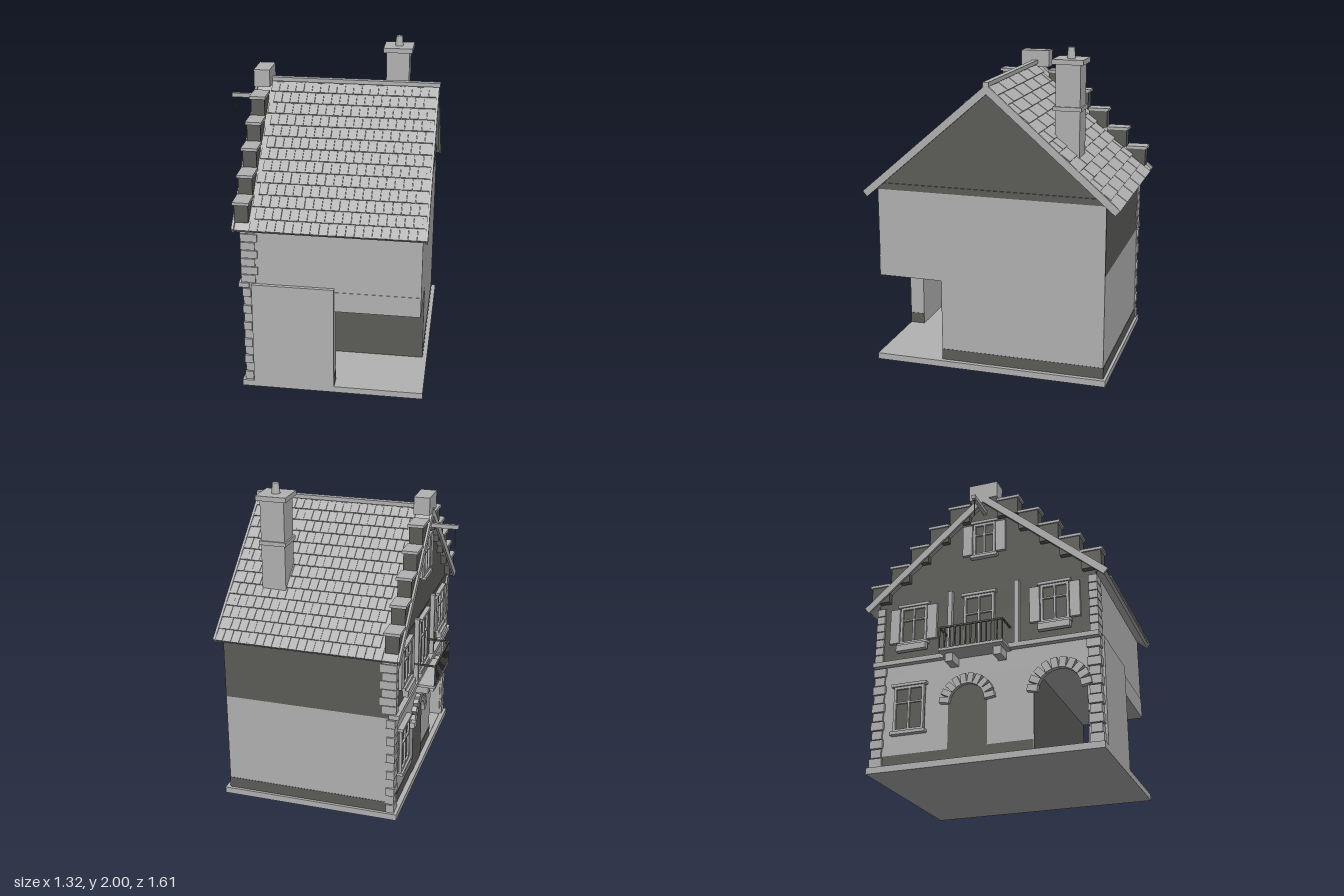
import * as THREE from 'three';
import { mergeGeometries } from 'three/addons/utils/BufferGeometryUtils.js';

const light = new THREE.MeshStandardMaterial({ color: 0xb2b2b2 });
light.name = 'light stone';
const dark = new THREE.MeshStandardMaterial({ color: 0x5c5c58 });
dark.name = 'dark stone';

// box geometry from its limits
function slab(x0, x1, y0, y1, z0, z1) {
  return new THREE.BoxGeometry(x1 - x0, y1 - y0, z1 - z0)
    .translate((x0 + x1) / 2, (y0 + y1) / 2, (z0 + z1) / 2);
}
// flat shape drawn in (z, y), facing -x or +x
function sidePlate(shape, x, facing) {
  const g = new THREE.ShapeGeometry(shape, 16);
  return g.rotateY(facing * Math.PI / 2).translate(x, 0, 0);
}

export function createModel() {
  const house = new THREE.Group();
  house.name = 'house';
  const add = (name, mat, ...geos) => {
    const mesh = new THREE.Mesh(geos.length > 1 ? mergeGeometries(geos) : geos[0], mat);
    mesh.name = name;
    house.add(mesh);
    return mesh;
  };

  // ground slab and walls, with an open passage under the +z side
  add('base', light, slab(-0.485, 0.65, 0, 0.04, -0.74, 0.74));
  add('lowerWalls', light, slab(-0.45, 0.62, 0.04, 0.56, -0.72, 0.31));
  add('upperWalls', light, slab(-0.45, 0.62, 0.56, 1.12, -0.717, 0.717));
  add('sidePanel', light, slab(-0.41, 0.095, 0.04, 0.715, 0.645, 0.74), slab(-0.45, -0.41, 0.04, 0.70, 0.645, 0.72));
  add('lintel', light, slab(0.095, 0.62, 0.56, 0.69, 0.7, 0.72), slab(-0.45, 0.62, 0.56, 0.69, -0.72, -0.7));
  add('passageWall', dark, slab(-0.449, 0.619, 0.04, 0.56, 0.305, 0.312));
  add('backBand', dark, slab(-0.45, 0.62, 0.69, 1.12, -0.721, -0.714));
  add('plinth', dark,
    slab(0.615, 0.622, 0.04, 0.11, -0.722, 0.31),
    slab(-0.45, 0.62, 0.04, 0.11, -0.722, -0.715),
    slab(-0.453, -0.446, 0.04, 0.11, -0.72, 0.31),
    slab(0.09, 0.097, 0.04, 0.11, 0.645, 0.739));

  // arched opening of the passage
  const arch = new THREE.Shape([[0.31, 0.04], [0.645, 0.04], [0.645, 0.57], [0.31, 0.57]].map(p => new THREE.Vector2(...p)));
  const hole = new THREE.Path();
  hole.moveTo(0.315, 0.045);
  hole.lineTo(0.315, 0.39);
  hole.absarc(0.477, 0.39, 0.162, Math.PI, 0, true);
  hole.lineTo(0.639, 0.045);
  hole.closePath();
  arch.holes.push(hole);
  add('passageArch', light, sidePlate(arch, -0.452, -1));

  // gables
  const gable = (w, y0, peak) => new THREE.Shape([[-w, y0], [w, y0], [0, peak]].map(p => new THREE.Vector2(...p)));
  add('rearGable', dark, sidePlate(gable(0.74, 1.12, 1.765), 0.615, 1));
  add('rearGableBand', dark, slab(0.61, 0.622, 1.12, 1.16, -0.71, 0.71));
  add('facadeGable', dark, sidePlate(gable(0.74, 1.12, 1.765), -0.455, -1));
  add('facadeUpper', dark, slab(-0.457, -0.45, 0.72, 1.12, -0.715, 0.715));
  add('stringCourse', light, slab(-0.49, -0.425, 0.69, 0.72, -0.73, 0.73));

  // roof slopes: each is built flat and tilted; u runs down the slope
  const run = 0.80, rise = 0.69, len = Math.hypot(run, rise), tilt = Math.atan2(rise, run);
  const rows = 13, cols = 20;
  for (const side of [1, -1]) {
    const onSlope = (x0, x1, t0, t1, u0, u1) => {
      const g = slab(x0, x1, t0, t1, u0, u1).rotateX(tilt);
      if (side < 0) g.rotateY(Math.PI).scale(1, 1, 1);
      return g.translate(0, 1.79, 0);
    };
    const m = x => side * x;
    const strip = (xa, xb, t0, t1, u0, u1) => onSlope(Math.min(m(xa), m(xb)), Math.max(m(xa), m(xb)), t0, t1, u0, u1);
    add('roofSlope', light, strip(-0.49, 0.64, -0.03, -0.008, 0, len - 0.005));
    // overlapping tiles with small height changes
    const tiles = [];
    for (let r = 0; r < rows; r++) {
      const pitch = len / rows;
      for (let c = 0; c < cols; c++) {
        const w = 1.04 / cols, x = -0.40 + (c + (r % 2) * 0.5) * w;
        const lift = ((r * 7 + c * 5) % 4) * 0.0008;
        const g = slab(-w / 2 + 0.001, w / 2 - 0.001, -0.008, 0, -pitch * 0.55, pitch * 0.52);
        g.rotateX(-0.09).translate(m(Math.min(x + w / 2, 0.64 - w / 2)), 0.001 + lift, (r + 0.5) * pitch);
        g.rotateX(tilt);
        if (side < 0) g.rotateY(Math.PI);
        tiles.push(g.translate(0, 1.79, 0));
      }
    }
    add('roofTiles', light, ...tiles);
    add('vergeBoards', light, strip(0.635, 0.65, -0.036, 0.008, 0, len), strip(-0.505, -0.49, -0.036, 0.008, 0, len));
  }
  add('ridge', light, slab(-0.41, 0.657, 1.79, 1.815, -0.018, 0.018));

  // stepped parapet
  const edges = [0.775, 0.645, 0.51, 0.38, 0.245, 0.10];
  const bodies = [], caps = [];
  for (const s of [1, -1]) {
    for (let i = 0; i < 5; i++) {
      const top = 1.265 + 0.1215 * i;
      const za = s * (edges[i] - 0.012), zb = s * (edges[i + 1] - 0.005);
      const ca = s * edges[i], cb = s * (edges[i + 1] - 0.008);
      bodies.push(slab(-0.492, -0.408, top - 0.13, top - 0.018, Math.min(za, zb), Math.max(za, zb)));
      caps.push(slab(-0.50, -0.40, top - 0.018, top, Math.min(ca, cb), Math.max(ca, cb)));
    }
  }
  add('stepBlocks', dark, ...bodies);
  add('stepCaps', light, ...caps);
  add('peakBlock', light, slab(-0.50, -0.40, 1.77, 1.88, -0.095, 0.095));

  // chimney
  add('chimney', light,
    slab(0.285, 0.435, 1.3, 1.91, -0.51, -0.36),
    slab(0.275, 0.445, 1.63, 1.655, -0.52, -0.345),
    slab(0.265, 0.455, 1.905, 1.935, -0.53, -0.34));
  add('chimneyPot', light, new THREE.CylinderGeometry(0.02, 0.027, 0.065, 12).translate(0.36, 1.9675, -0.435));

  // corner stones
  const quoins = [];
  for (const s of [1, -1]) {
    for (let i = 0; i < 11; i++) {
      const e = (i % 2) * 0.008, y = 0.045 + i * 0.0585;
      quoins.push(slab(-0.467 + e / 2, -0.415 + e, y, y + 0.053, s * 0.69 - 0.042 + e, s * 0.69 + 0.042 - e));
    }
    for (let i = 0; i < 7; i++) {
      const y = 0.725 + i * 0.054;
      quoins.push(slab(-0.472, i % 2 ? -0.37 : -0.385, y, y + 0.049, s * 0.7 - 0.027, s * 0.7 + 0.027));
    }
  }
  add('cornerStones', light, ...quoins);

  // arch stones over the passage and the door
  for (const [cz, r] of [[0.477, 0.165], [-0.10, 0.145]]) {
    const stones = [];
    for (let i = 0; i < 10; i++) {
      const a = (i + 0.5) / 10 * Math.PI;
      const g = new THREE.BoxGeometry(0.035, 0.065, r * 0.25);
      stones.push(g.rotateX(Math.PI / 2 - a).translate(-0.463, 0.39 + Math.sin(a) * r, cz + Math.cos(a) * r));
    }
    add('archStones', light, ...stones);
  }
  const leaf = new THREE.Shape();
  leaf.moveTo(-0.225, 0.04);
  leaf.lineTo(0.025, 0.04);
  leaf.lineTo(0.025, 0.39);
  leaf.absarc(-0.1, 0.39, 0.125, 0, Math.PI, false);
  add('door', dark, sidePlate(leaf, -0.456, -1));

  // framed windows with glazing bars, sills and shutters
  function windowUnit(z, y0, y1, w, shutters) {
    const h = w / 2, x = -0.475, f = 0.016, ym = y0 + (y1 - y0) * 0.62;
    add('windowGlass', dark, slab(-0.462, -0.45, y0, y1, z - h, z + h));
    add('windowFrame', light,
      slab(x, -0.45, y0, y1, z - h, z - h + f), slab(x, -0.45, y0, y1, z + h - f, z + h),
      slab(x, -0.45, y1 - f, y1, z - h, z + h), slab(x, -0.45, y0, y0 + f, z - h, z + h),
      slab(x, -0.45, y0, y1, z - 0.006, z + 0.006), slab(x, -0.45, ym, ym + 0.01, z - h, z + h),
      slab(-0.488, -0.45, y0 - 0.02, y0, z - h - 0.015, z + h + 0.015),
      slab(-0.485, -0.45, y1, y1 + 0.018, z - h - 0.015, z + h + 0.015));
    if (!shutters) return;
    add('shutters', light, ...[1, -1].map(s =>
      slab(-0.478, -0.458, y0 + 0.01, y1 - 0.005, z + s * (h + 0.037) - 0.032, z + s * (h + 0.037) + 0.032)));
  }
  windowUnit(-0.48, 0.25, 0.54, 0.2, false);
  windowUnit(-0.47, 0.83, 1.08, 0.18, true);
  windowUnit(0.46, 0.83, 1.08, 0.18, true);
  windowUnit(-0.03, 0.75, 1.09, 0.2, false);
  windowUnit(0, 1.37, 1.6, 0.15, true);
  add('flowerBoxes', light, ...[-0.47, 0.46].map(z => slab(-0.505, -0.47, 0.77, 0.81, z - 0.1, z + 0.1)));
  add('facadePosts', light, ...[-0.22, 0.22].map(z => slab(-0.485, -0.45, 0.72, 1.14, z - 0.014, z + 0.014)));

  // balcony with railing and brackets
  add('balconyFloor', light, slab(-0.60, -0.45, 0.683, 0.70, -0.24, 0.175));
  add('balconyBrackets', light, ...[-0.19, 0.12].map(z => slab(-0.55, -0.45, 0.63, 0.683, z - 0.025, z + 0.025)));
  const rails = [slab(-0.60, -0.59, 0.832, 0.842, -0.24, 0.175)];
  for (const z of [-0.235, 0.17]) rails.push(slab(-0.60, -0.45, 0.832, 0.842, z - 0.005, z + 0.005));
  for (let i = 0; i <= 12; i++) {
    const z = -0.235 + i * 0.405 / 12;
    rails.push(slab(-0.599, -0.591, 0.70, 0.835, z - 0.004, z + 0.004));
  }
  add('balconyRailing', dark, ...rails);

  // hoist beam with hanging hook
  add('hoistBeam', light, slab(-0.665, -0.45, 1.672, 1.697, -0.012, 0.012));
  add('hoistHook', dark, slab(-0.647, -0.641, 1.56, 1.675, -0.003, 0.003));

  return house;
}
